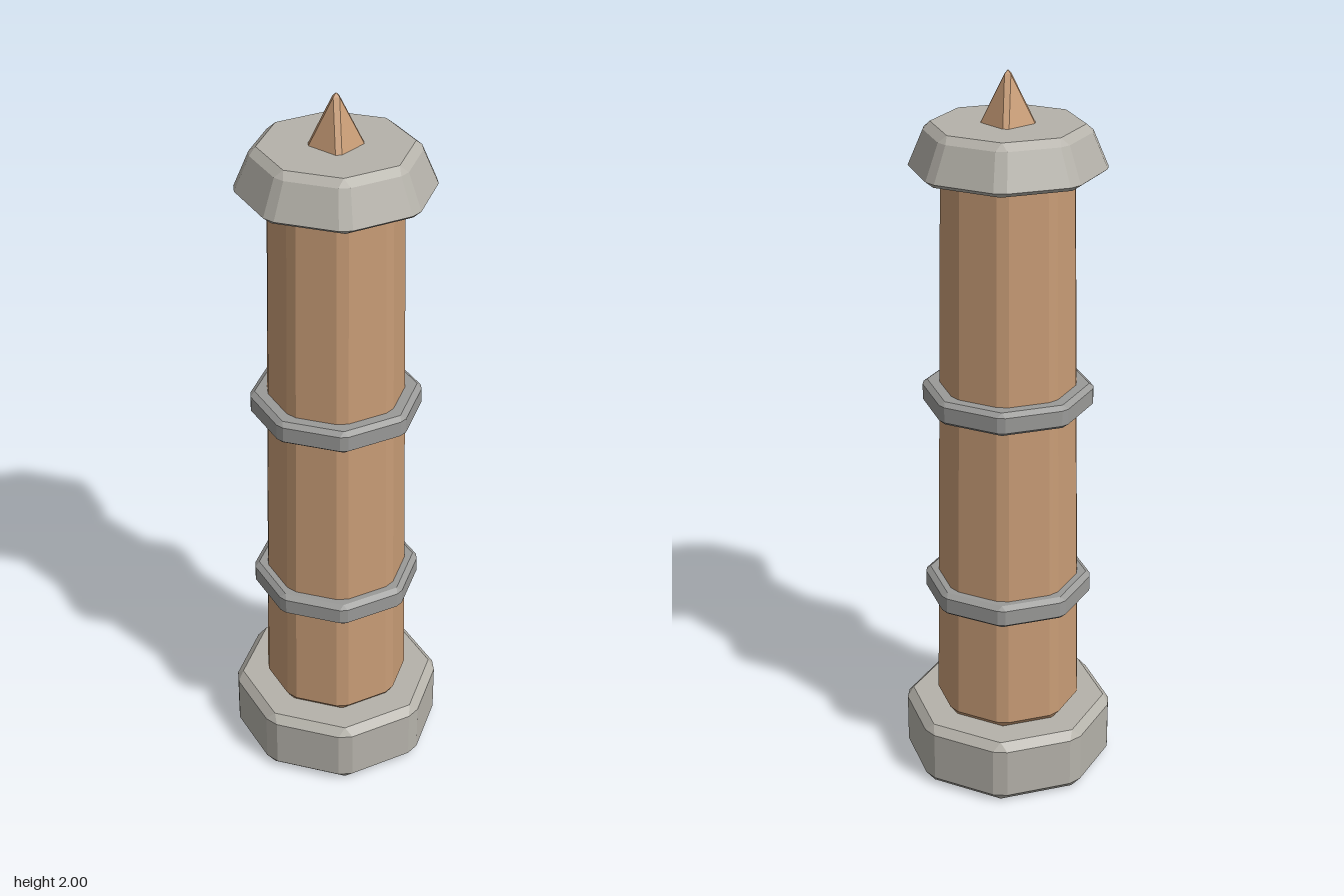
import * as THREE from 'three';

const stone = new THREE.MeshStandardMaterial({ color: 0xb5b2aa, flatShading: true });
const metal = new THREE.MeshStandardMaterial({ color: 0x9a9a98, flatShading: true });
const wood = new THREE.MeshStandardMaterial({ color: 0xc89c76, flatShading: true });

// One cross-section: a polygon whose corners, on radius r, are cut to flats of half width w
function section(sides, [y, r, w]) {
  const points = [];
  for (let i = 0; i < sides; i++) {
    const a = (i / sides) * Math.PI * 2;
    for (const t of [-w, w]) {
      points.push(new THREE.Vector3(
        r * Math.cos(a) - t * Math.sin(a), y, -r * Math.sin(a) - t * Math.cos(a)));
    }
  }
  return points;
}

// Closed bevelled prism through a stack of [height, radius, half corner width]
function bevelledPrism(sides, profile) {
  const rings = profile.map((p) => section(sides, p));
  const positions = [];
  const triangle = (a, b, c) => {
    if (new THREE.Triangle(a, b, c).getArea() < 1e-9) return; // sharp corners collapse
    for (const p of [a, b, c]) positions.push(p.x, p.y, p.z);
  };
  const count = sides * 2;
  const bottom = new THREE.Vector3(0, profile[0][0], 0);
  const top = new THREE.Vector3(0, profile[profile.length - 1][0], 0);
  for (let i = 0; i < count; i++) {
    const j = (i + 1) % count;
    for (let k = 0; k < rings.length - 1; k++) {
      const low = rings[k], high = rings[k + 1];
      triangle(low[i], low[j], high[j]);
      triangle(low[i], high[j], high[i]);
    }
    const last = rings[rings.length - 1];
    triangle(bottom, rings[0][j], rings[0][i]);
    triangle(top, last[i], last[j]);
  }
  const geometry = new THREE.BufferGeometry();
  geometry.setAttribute('position', new THREE.Float32BufferAttribute(positions, 3));
  geometry.computeVertexNormals();
  return geometry;
}

export function createModel() {
  const group = new THREE.Group();
  group.name = 'pillar';
  const add = (name, material, sides, profile) => {
    const mesh = new THREE.Mesh(bevelledPrism(sides, profile), material);
    mesh.name = name;
    group.add(mesh);
  };

  // Stone foot
  add('base', stone, 8, [
    [0, 0.275, 0], [0.022, 0.29, 0.02], [0.163, 0.29, 0.02], [0.185, 0.275, 0],
  ]);

  // Tapering wooden post
  add('shaft', wood, 8, [
    [0.183, 0.188, 0], [0.203, 0.2, 0.017], [1.74, 0.174, 0.015], [1.76, 0.162, 0],
  ]);

  // Two bands around the post
  [['lowerBand', 0.52], ['upperBand', 1.09]].forEach(([name, y]) => add(name, metal, 8, [
    [y, 0.219, 0], [y + 0.011, 0.23, 0.011], [y + 0.054, 0.23, 0.011], [y + 0.065, 0.219, 0],
  ]));

  // Sloping stone cap
  add('cap', stone, 8, [
    [1.74, 0.245, 0], [1.753, 0.257, 0.017], [1.847, 0.217, 0.015], [1.865, 0.2, 0],
  ]);

  // Four-sided wooden point
  add('spike', wood, 4, [
    [1.862, 0.071, 0.008], [1.99, 0.008, 0.008], [2, 0, 0],
  ]);

  return group;
}
